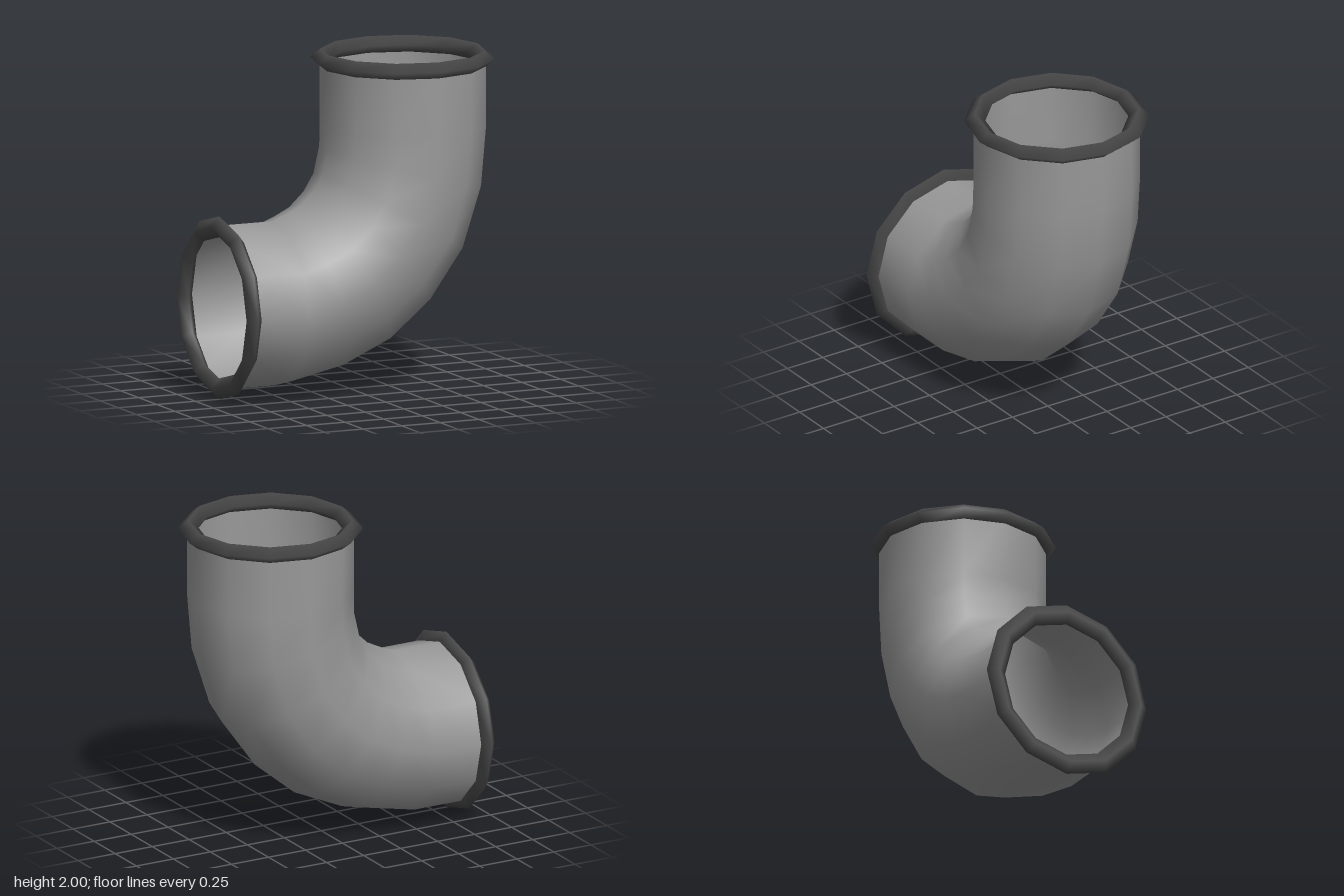
import * as THREE from 'three';

const SIDES = 12;
const RADIUS = 0.49;

// Lofted pipe: each station gives its outer-bend and inner-bend point in the xy plane
function pipeGeometry(stations) {
  const positions = [];
  const indices = [];
  stations.forEach(([ox, oy, ix, iy]) => {
    const centre = new THREE.Vector3((ox + ix) / 2, (oy + iy) / 2, 0);
    const across = new THREE.Vector3(ox - ix, oy - iy, 0).normalize();
    for (let j = 0; j < SIDES; j++) {
      const a = (j / SIDES) * Math.PI * 2;
      const p = centre.clone().addScaledVector(across, Math.cos(a) * RADIUS);
      positions.push(p.x, p.y, Math.sin(a) * RADIUS);
    }
  });
  for (let i = 0; i < stations.length - 1; i++) {
    for (let j = 0; j < SIDES; j++) {
      const k = (j + 1) % SIDES;
      const a = i * SIDES + j, b = i * SIDES + k;
      const c = a + SIDES, d = b + SIDES;
      indices.push(a, c, b, b, c, d);
    }
  }
  const geometry = new THREE.BufferGeometry();
  geometry.setAttribute('position', new THREE.Float32BufferAttribute(positions, 3));
  geometry.setIndex(indices);
  geometry.computeVertexNormals();
  return geometry;
}

export function createModel() {
  const group = new THREE.Group();
  group.name = 'elbowPipe';

  const pipeGrey = new THREE.MeshStandardMaterial({ color: 0x999999, side: THREE.DoubleSide });
  pipeGrey.name = 'pipe grey';
  const rimGrey = new THREE.MeshStandardMaterial({ color: 0x484848 });
  rimGrey.name = 'dark rim grey';

  // Open elbow, from the side mouth around to the top mouth
  const pipe = new THREE.Mesh(pipeGeometry([
    [-0.845, 0.06, -0.845, 1.04],
    [-0.49, 0.06, -0.49, 1.04],
    [-0.14, 0.133, -0.40, 1.078],
    [0.183, 0.277, -0.31, 1.122],
    [0.452, 0.495, -0.23, 1.202],
    [0.675, 0.803, -0.177, 1.29],
    [0.80, 1.18, -0.145, 1.436],
    [0.835, 1.55, -0.145, 1.55],
    [0.835, 1.95, -0.145, 1.95],
  ]), pipeGrey);
  pipe.name = 'elbow';
  group.add(pipe);

  // Diamond-section collars around both mouths
  const collar = new THREE.TorusGeometry(0.483, 0.0625, 4, SIDES);
  collar.scale(1, 1, 0.8);

  const sideCollar = new THREE.Mesh(collar, rimGrey);
  sideCollar.name = 'sideCollar';
  sideCollar.rotation.y = Math.PI / 2;
  sideCollar.position.set(-0.845, 0.55, 0);

  const topCollar = new THREE.Mesh(collar, rimGrey);
  topCollar.name = 'topCollar';
  topCollar.rotation.x = Math.PI / 2;
  topCollar.position.set(0.345, 1.95, 0);

  group.add(sideCollar, topCollar);
  return group;
}
